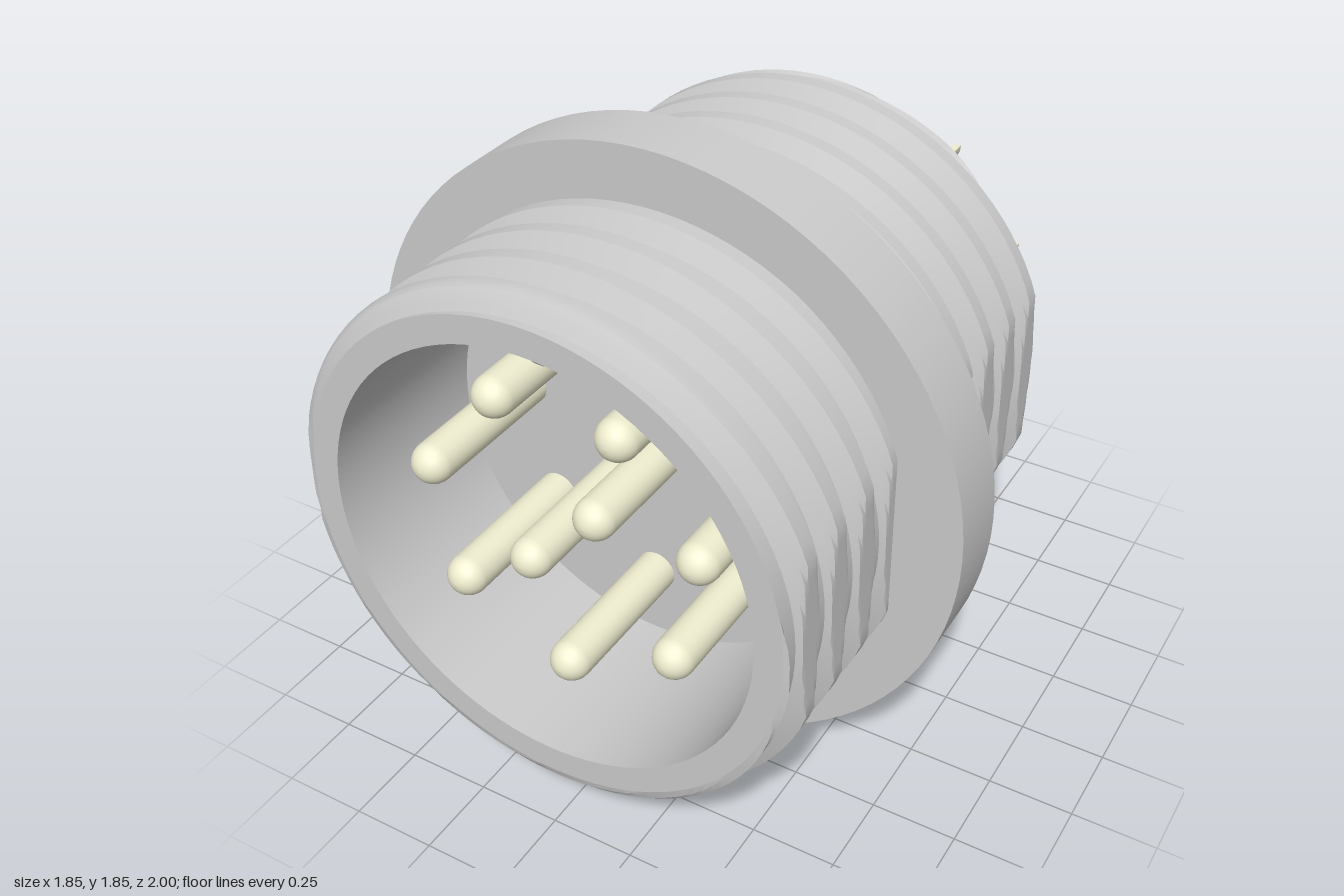
import * as THREE from 'three';
import { toCreasedNormals } from 'three/addons/utils/BufferGeometryUtils.js';

const AXIS_Y = 0.925, SEG = 96;
const BACK = -0.55, FRONT = 1, BORE = 0.635;
const CREST = 0.772, ROOT = 0.715, FLAT_X = 0.73, PITCH = 0.15, PHASE = 0.1385;

const grey = new THREE.MeshStandardMaterial({ color: 0xcccccc });
const greyDouble = new THREE.MeshStandardMaterial({ color: 0xcccccc, side: THREE.DoubleSide });
const violet = new THREE.MeshStandardMaterial({ color: 0xc0beff });
const cream = new THREE.MeshStandardMaterial({ color: 0xf0eed0 });

function part(name, geometry, material) {
  const mesh = new THREE.Mesh(geometry, material);
  mesh.name = name;
  return mesh;
}

// Cylinder lying along z
function disc(radius, z0, z1) {
  return new THREE.CylinderGeometry(radius, radius, z1 - z0, SEG)
    .rotateX(Math.PI / 2).translate(0, 0, (z0 + z1) / 2);
}

// Rod along z with a domed front tip
function domedRod(radius, z0, z1, start = 0, sweep = Math.PI * 2) {
  const pts = [new THREE.Vector2(radius, z0)];
  for (let i = 0; i <= 8; i++) {
    const a = (i / 8) * Math.PI / 2;
    pts.push(new THREE.Vector2(radius * Math.cos(a), z1 - radius + radius * Math.sin(a)));
  }
  return new THREE.LatheGeometry(pts, 24, start, sweep).rotateX(Math.PI / 2);
}

// Outer radius: helical trapezoid thread, rounded at both ends, cut by two side flats
function bodyRadius(theta, z) {
  const t = (z - PITCH * theta / (2 * Math.PI) - PHASE) / PITCH;
  const d = Math.abs(t - Math.round(t)) * PITCH;
  const thread = THREE.MathUtils.clamp((0.052 - d) / 0.03, 0, 1);
  let r = ROOT + (CREST - ROOT) * thread;
  const e = Math.min(1, Math.max(0, z - (FRONT - 0.08), BACK + 0.08 - z) / 0.08);
  r = Math.min(r, ROOT + (CREST - ROOT) * Math.sqrt(1 - e * e));
  return Math.min(r, FLAT_X / Math.max(1e-6, Math.abs(Math.cos(theta))));
}

// Grid whose rows follow the helix, clamped to the body's ends
function threadGeometry() {
  const steps = [-0.075, -0.052, -0.042, -0.032, -0.022, -0.011, 0, 0.011, 0.022, 0.032, 0.042, 0.052];
  const rows = [];
  for (let k = -7; k <= 7; k++) for (const s of steps) rows.push(PHASE + k * PITCH + s);
  const point = (i, j) => {
    const theta = (i / SEG) * Math.PI * 2;
    const z = THREE.MathUtils.clamp(rows[j] + PITCH * i / SEG, BACK, FRONT);
    const r = bodyRadius(theta, z);
    return [r * Math.cos(theta), r * Math.sin(theta), z];
  };
  const pos = [];
  for (let i = 0; i < SEG; i++) {
    for (let j = 0; j < rows.length - 1; j++) {
      const a = point(i, j), b = point(i + 1, j), c = point(i + 1, j + 1), d = point(i, j + 1);
      if (b[2] !== c[2]) pos.push(...a, ...b, ...c);
      if (a[2] !== d[2]) pos.push(...a, ...c, ...d);
    }
  }
  const g = new THREE.BufferGeometry();
  g.setAttribute('position', new THREE.Float32BufferAttribute(pos, 3));
  return toCreasedNormals(g, 0.4);
}

// Extrude a cross-section from z0 to z1
function extrude(shape, z0, z1) {
  const g = new THREE.ExtrudeGeometry(shape, { depth: z1 - z0, bevelEnabled: false, curveSegments: 24 });
  return toCreasedNormals(g.translate(0, 0, z0), 0.6);
}

export function createModel() {
  const model = new THREE.Group();
  model.name = 'connector';
  const body = new THREE.Group();
  body.name = 'connectorBody';
  body.position.y = AXIS_Y;
  model.add(body);

  // Threaded shell, its bore with end rims, and the flange
  body.add(part('threadedShell', threadGeometry(), grey));
  const sleeve = [[ROOT, BACK], [BORE, BACK], [BORE, FRONT], [ROOT, FRONT]]
    .map(([r, z]) => new THREE.Vector2(r, z));
  body.add(part('boreSleeve',
    toCreasedNormals(new THREE.LatheGeometry(sleeve, SEG).rotateX(Math.PI / 2), 0.5), greyDouble));
  body.add(part('flange', disc(0.925, 0.24, 0.44), grey));

  // Insulator and the half-round key on the bore's top
  body.add(part('insulator', disc(BORE, -0.535, 0), violet));
  const key = part('key', domedRod(0.1, 0, 0.95, -Math.PI / 2, Math.PI), greyDouble);
  key.position.y = BORE;
  body.add(key);

  // Contact pin: domed rod in front, solder cup behind with its upper half cut away
  const ring = new THREE.Shape().absarc(0, 0, 0.07, 0, Math.PI * 2);
  ring.holes.push(new THREE.Path().absarc(0, 0, 0.045, 0, Math.PI * 2, true));
  const trough = new THREE.Shape();
  trough.absarc(0, 0, 0.07, Math.PI, Math.PI * 2);
  trough.absarc(0, 0, 0.045, Math.PI * 2, Math.PI, true);
  const rodGeo = domedRod(0.06, -0.02, 0.93);
  const tubeGeo = extrude(ring, -0.75, -0.53);
  const troughGeo = extrude(trough, -1, -0.75);

  const spots = [[0, 0.51], [0.105, 1.035], [-0.105, 0.825]];
  for (const s of [-1, 1]) spots.push([s * 0.185, 1.31], [s * 0.41, 1.02], [s * 0.33, 0.67]);
  for (const [x, y] of spots) {
    const pin = new THREE.Group();
    pin.name = 'contactPin';
    pin.add(part('pinRod', rodGeo, cream), part('cupTube', tubeGeo, cream), part('cupTrough', troughGeo, cream));
    pin.position.set(x, y - AXIS_Y, 0);
    body.add(pin);
  }
  return model;
}
